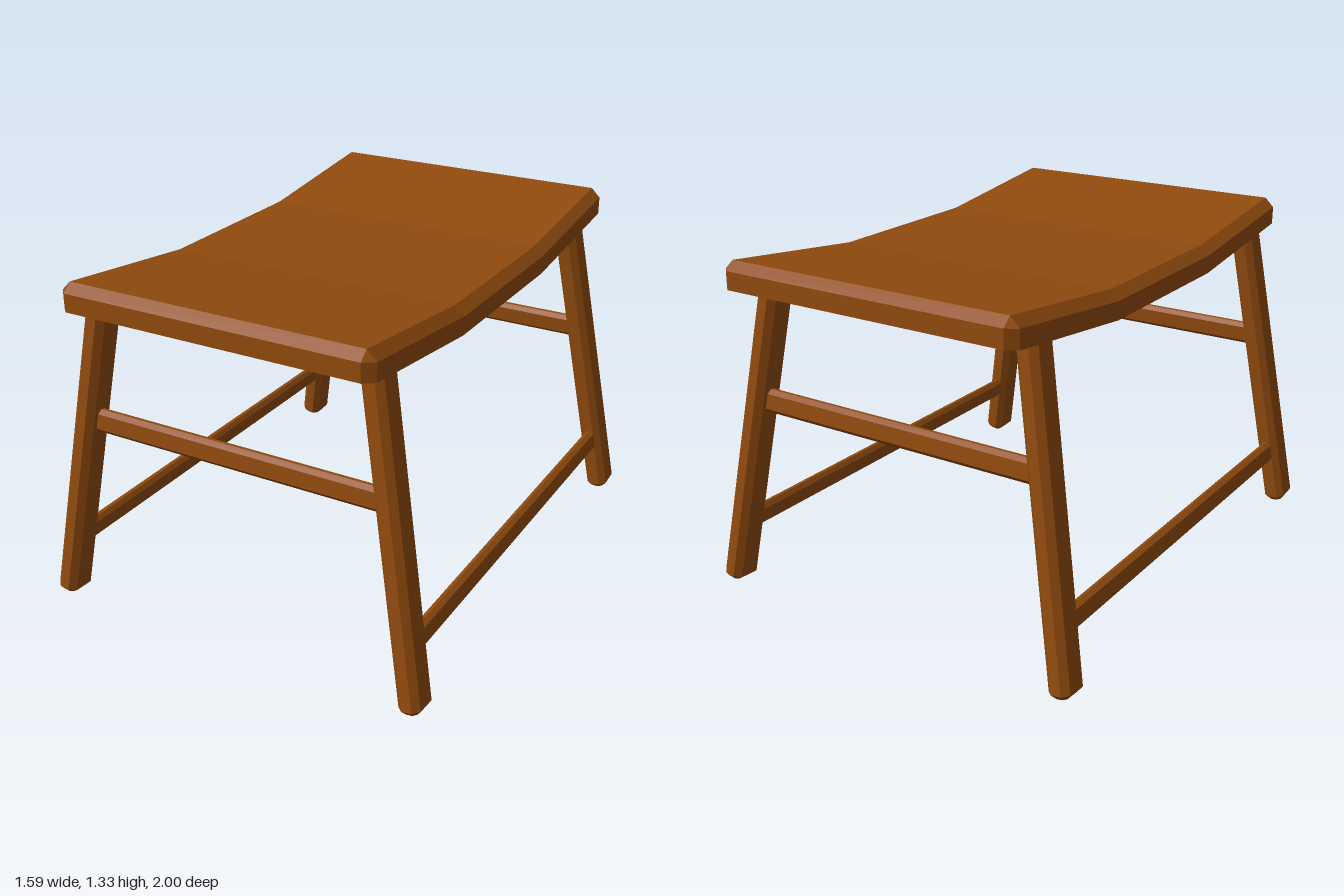
import * as THREE from 'three';

const wood = new THREE.MeshStandardMaterial({ color: 0x914b0e });
wood.name = 'brown wood';

// Chamfered rectangular bar running from a to b; "side" sets the direction of its depth
function bar(name, a, b, width, depth, chamfer, side) {
  const axis = b.clone().sub(a);
  const length = axis.length();
  axis.normalize();
  const z = side.clone().addScaledVector(axis, -side.dot(axis)).normalize();
  const x = new THREE.Vector3().crossVectors(axis, z);

  // The outline is inset by the chamfer, and the bevel restores the full size
  const w = width / 2 - chamfer, d = depth / 2 - chamfer, k = chamfer * 0.6;
  const shape = new THREE.Shape([
    [w, -d + k], [w, d - k], [w - k, d], [-w + k, d],
    [-w, d - k], [-w, -d + k], [-w + k, -d], [w - k, -d],
  ].map(([u, v]) => new THREE.Vector2(u, v)));
  const geo = new THREE.ExtrudeGeometry(shape, {
    depth: length - 2 * chamfer, bevelEnabled: true, bevelSegments: 1,
    bevelSize: chamfer, bevelThickness: chamfer,
  });
  geo.translate(0, 0, chamfer);
  // Shape x -> bar width, shape y -> bar depth, extrusion -> bar axis
  geo.applyMatrix4(new THREE.Matrix4().makeBasis(x.negate(), z, axis).setPosition(a));
  const mesh = new THREE.Mesh(geo, wood);
  mesh.name = name;
  return mesh;
}

// Dished slab lofted along z, with chamfered top rim and corners
function seat() {
  const half = 0.615, thick = 0.105, c = 0.036;
  const pos = [];
  const rings = [-1, -1 + c, -0.35, 0.35, 1 - c, 1].map((z) => {
    const end = Math.abs(z) === 1;
    const base = 1.16 + 0.075 * Math.max(0, Math.abs(z) - 0.35) / 0.65;
    const w = end ? half - c : half;
    const top = end ? thick - c : thick;
    return [
      [-w, 0], [w, 0], [w, thick - c], [half - c, top], [c - half, top], [-w, thick - c],
    ].map(([x, y]) => [x, base + y, z]);
  });
  const tri = (p, q, r) => pos.push(...p, ...q, ...r);
  for (let i = 0; i < rings.length - 1; i++) {
    const a = rings[i], b = rings[i + 1];
    for (let j = 0; j < 6; j++) {
      const n = (j + 1) % 6;
      tri(a[j], a[n], b[n]);
      tri(a[j], b[n], b[j]);
    }
  }
  const back = rings[0], front = rings[rings.length - 1];
  for (const [p, q, r] of [[0, 1, 2], [0, 2, 5]]) {
    tri(front[p], front[q], front[r]);
    tri(back[p], back[r], back[q]);
  }
  const geo = new THREE.BufferGeometry();
  geo.setAttribute('position', new THREE.Float32BufferAttribute(pos, 3));
  geo.computeVertexNormals();
  const mesh = new THREE.Mesh(geo, wood);
  mesh.name = 'seat';
  return mesh;
}

export function createModel() {
  const group = new THREE.Group();
  group.name = 'stool';
  group.add(seat());

  const v = (x, y, z) => new THREE.Vector3(x, y, z);
  // Centre line of a leg at height y, for each side and end
  const ends = {
    front: { foot: 0.923, top: 0.833, y: 0.02 },
    back: { foot: -0.893, top: -0.783, y: 0.015 },
  };
  const legAt = (sx, e, y) => {
    const t = (y - 0.02) / 1.25;
    return v(sx * (0.752 - 0.211 * t), y, e.foot + (e.top - e.foot) * t);
  };

  for (const [label, e] of Object.entries(ends)) {
    // Splayed legs
    for (const sx of [-1, 1]) {
      group.add(bar(`${label}${sx > 0 ? 'Left' : 'Right'}Leg`,
        legAt(sx, e, e.y), legAt(sx, e, 1.27), 0.086, 0.127, 0.02, v(0, 0, 1)));
    }
    // High cross rail, leaning with the legs
    const lean = v(0, 1.25, e.top - e.foot);
    group.add(bar(`${label}Rail`, legAt(-1, e, 0.767), legAt(1, e, 0.767),
      0.045, 0.09, 0.013, lean));
  }

  // Low side stretchers, leaning with the legs
  for (const sx of [-1, 1]) {
    group.add(bar(`${sx > 0 ? 'left' : 'right'}Stretcher`,
      legAt(sx, ends.back, 0.252), legAt(sx, ends.front, 0.252),
      0.042, 0.09, 0.013, v(-sx * 0.211, 1.25, 0)));
  }
  return group;
}
